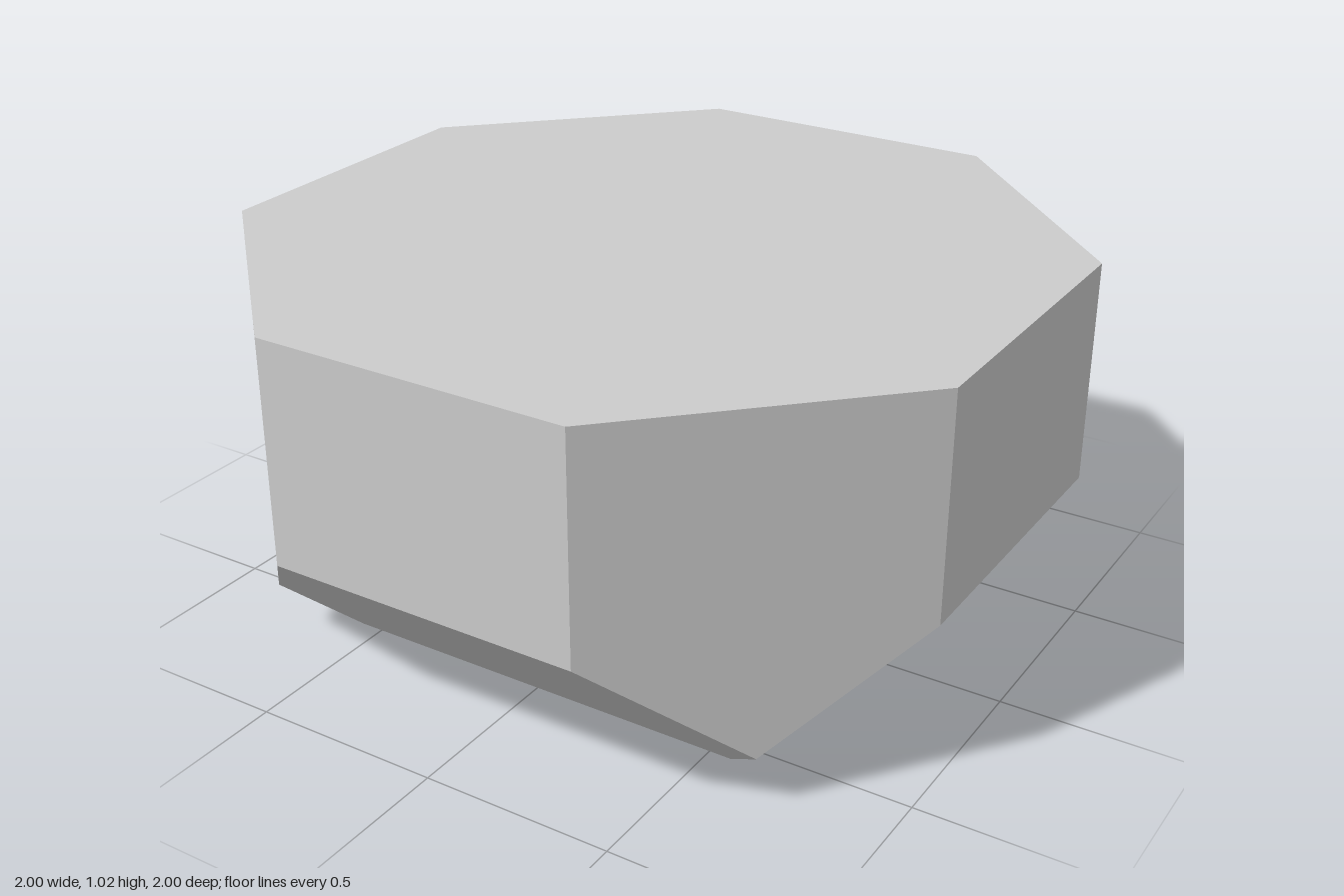
import * as THREE from 'three';

const A = Math.tan(Math.PI / 8); // half the octagon's side
const C = Math.SQRT1_2;          // where the lower bevels meet under each diagonal wall
const B = 0.56;                  // half width of the square base
const S = 1 - B;                 // height where the straight walls begin
const TOP = 1.02;

const v = (x, y, z) => new THREE.Vector3(x, y, z);
const turn = (p, k) => p.clone().applyAxisAngle(v(0, 1, 0), k * Math.PI / 2);

// Flat-shaded mesh from convex polygons, corners counter-clockwise seen from outside
function facets(name, polygons) {
  const points = [];
  for (const p of polygons)
    for (let i = 1; i < p.length - 1; i++) points.push(p[0], p[i], p[i + 1]);
  const geometry = new THREE.BufferGeometry().setFromPoints(points);
  geometry.computeVertexNormals();
  const mesh = new THREE.Mesh(geometry, new THREE.MeshStandardMaterial({ color: 0xcccccc, flatShading: true }));
  mesh.name = name;
  return mesh;
}

export function createModel() {
  const group = new THREE.Group();
  group.name = 'facetedBlock';

  // One quarter of each ring of faces, repeated around the y axis
  const wall = [v(-A, S, 1), v(A, S, 1), v(A, TOP, 1), v(-A, TOP, 1)];
  const corner = [v(C, C - B, C), v(1, S, A), v(1, TOP, A), v(A, TOP, 1), v(A, S, 1)];
  const bevel = [v(-B, 0, B), v(B, 0, B), v(C, C - B, C), v(A, S, 1), v(-A, S, 1), v(-C, C - B, C)];
  const quarters = [0, 1, 2, 3];
  const ring = (polygon) => quarters.map((k) => polygon.map((p) => turn(p, k)));

  group.add(facets('straightWalls', ring(wall)));
  group.add(facets('diagonalWalls', ring(corner)));
  group.add(facets('lowerBevels', ring(bevel)));

  // Octagonal top and square base
  const top = quarters.flatMap((k) => [turn(v(-A, TOP, 1), k), turn(v(A, TOP, 1), k)]);
  const base = quarters.map((k) => turn(v(B, 0, B), -k));
  group.add(facets('top', [top]));
  group.add(facets('base', [base]));
  return group;
}
